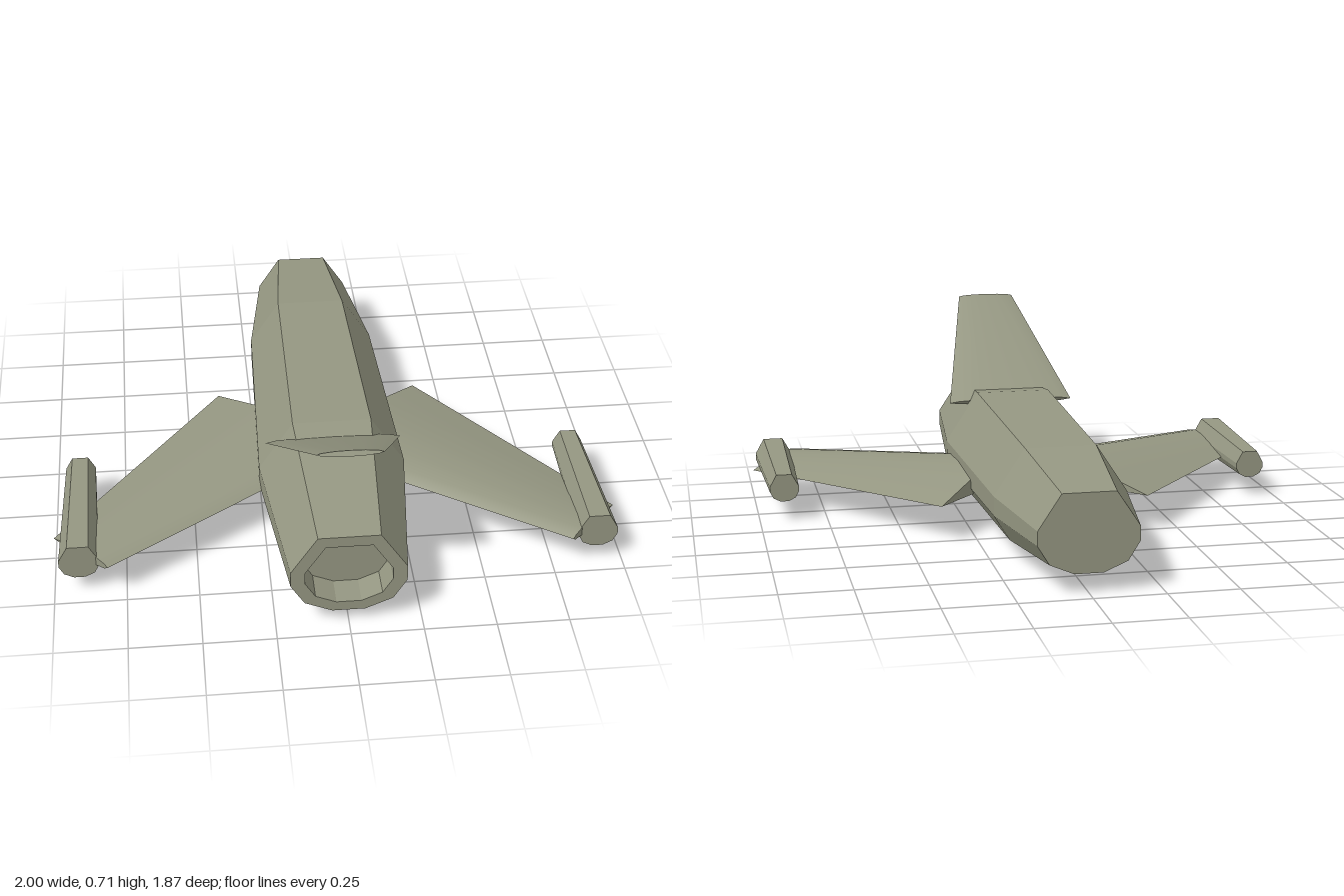
import * as THREE from 'three';
import { toCreasedNormals } from 'three/addons/utils/BufferGeometryUtils.js';

// Closed solid skinned over cross-sections that all have the same point count.
function loft(sections, crease = 0.02) {
  const n = sections[0].length;
  const tris = [];
  for (let s = 0; s < sections.length - 1; s++) {
    const p = sections[s], q = sections[s + 1];
    for (let i = 0; i < n; i++) {
      const j = (i + 1) % n;
      tris.push([p[i], q[i], q[j]], [p[i], q[j], p[j]]);
    }
  }
  const first = sections[0], last = sections[sections.length - 1];
  for (let i = 1; i < n - 1; i++) {
    tris.push([first[0], first[i], first[i + 1]], [last[0], last[i + 1], last[i]]);
  }
  // Turn the faces outwards whichever way the loops run.
  let volume = 0;
  for (const [a, b, c] of tris) volume += a.dot(b.clone().cross(c));
  if (volume < 0) tris.forEach((t) => t.reverse());
  const g = new THREE.BufferGeometry().setFromPoints(tris.flat());
  return toCreasedNormals(g, crease);
}

const V = (x, y, z) => new THREE.Vector3(x, y, z);

// Shared hull outline: right half, mirrored to a ten-sided loop about its centre.
const half = [[0.14, 0.217], [0.262, 0.032], [0.262, -0.045], [0.2, -0.145], [0.075, -0.198]];
const outline = [...half, ...half.map(([x, y]) => [-x, y]).reverse()];
const hull = (cx, cy, z, sx, sy = sx) => outline.map(([x, y]) => V(cx + x * sx, cy + y * sy, z));

export function createModel() {
  const group = new THREE.Group();
  const olive = new THREE.MeshStandardMaterial({ color: 0x959782 });
  olive.name = 'olive grey';
  const add = (name, geometry) => {
    const mesh = new THREE.Mesh(geometry, olive);
    mesh.name = name;
    group.add(mesh);
  };

  // Fuselage with a recessed opening in the front end
  const body = [
    [0.82, 0.57], [0.93, 0.57], [0.93, 0.755], [0.34, 1], [-0.51, 0.9], [-0.94, 0.66],
  ];
  add('fuselage', loft(body.map(([z, k]) => hull(0, 0.2, z, k))));

  // Slanted fin plate: thin lens section running from root to tip
  const fin = (y, z, w, t) => {
    const lens = [[-1, 0], [-0.85, 0.5], [-0.45, 0.9], [0, 1], [0.45, 0.9], [0.85, 0.5],
      [1, 0], [0.85, -0.5], [0.45, -0.9], [0, -1], [-0.45, -0.9], [-0.85, -0.5]];
    return lens.map(([u, v]) => V(u * w, y + v * t * 0.85, z - v * t * 0.53));
  };
  add('fin', loft([fin(0.37, 0.385, 0.24, 0.014), fin(0.703, 0.927, 0.11, 0.01)], 0.6));

  // Wing sections: chord fraction, then height from blunt front edge to sharp back edge
  const wingSection = (side, front, back, profile) =>
    profile.map(([u, y]) => V(
      side * THREE.MathUtils.lerp(front[0], back[0], u), y,
      THREE.MathUtils.lerp(front[1], back[1], u)));
  const rootProfile = [[0, 0.175], [0.06, 0.2], [0.2, 0.217], [0.4, 0.216], [0.68, 0.19],
    [1, 0.136], [0.68, 0.133], [0.4, 0.13], [0.2, 0.133], [0.06, 0.148]];
  const tipProfile = [[0, 0.132], [0.06, 0.14], [0.2, 0.146], [0.4, 0.143], [0.68, 0.13],
    [1, 0.107], [0.68, 0.106], [0.4, 0.108], [0.2, 0.112], [0.06, 0.12]];

  for (const [side, label] of [[1, 'left'], [-1, 'right']]) {
    add(`${label}Wing`, loft([
      wingSection(side, [-0.03, 0.205], [0.38, -0.27], rootProfile),
      wingSection(side, [0.81, 0.73], [1, 0.52], tipProfile),
    ], 0.5));
    // Wingtip pod, slightly tapered towards the back
    add(`${label}WingtipPod`, loft([
      hull(side * 0.91, 0.124, 0.685, 0.265, 0.313),
      hull(side * 0.907, 0.124, 0.145, 0.205, 0.245),
    ]));
  }
  return group;
}
